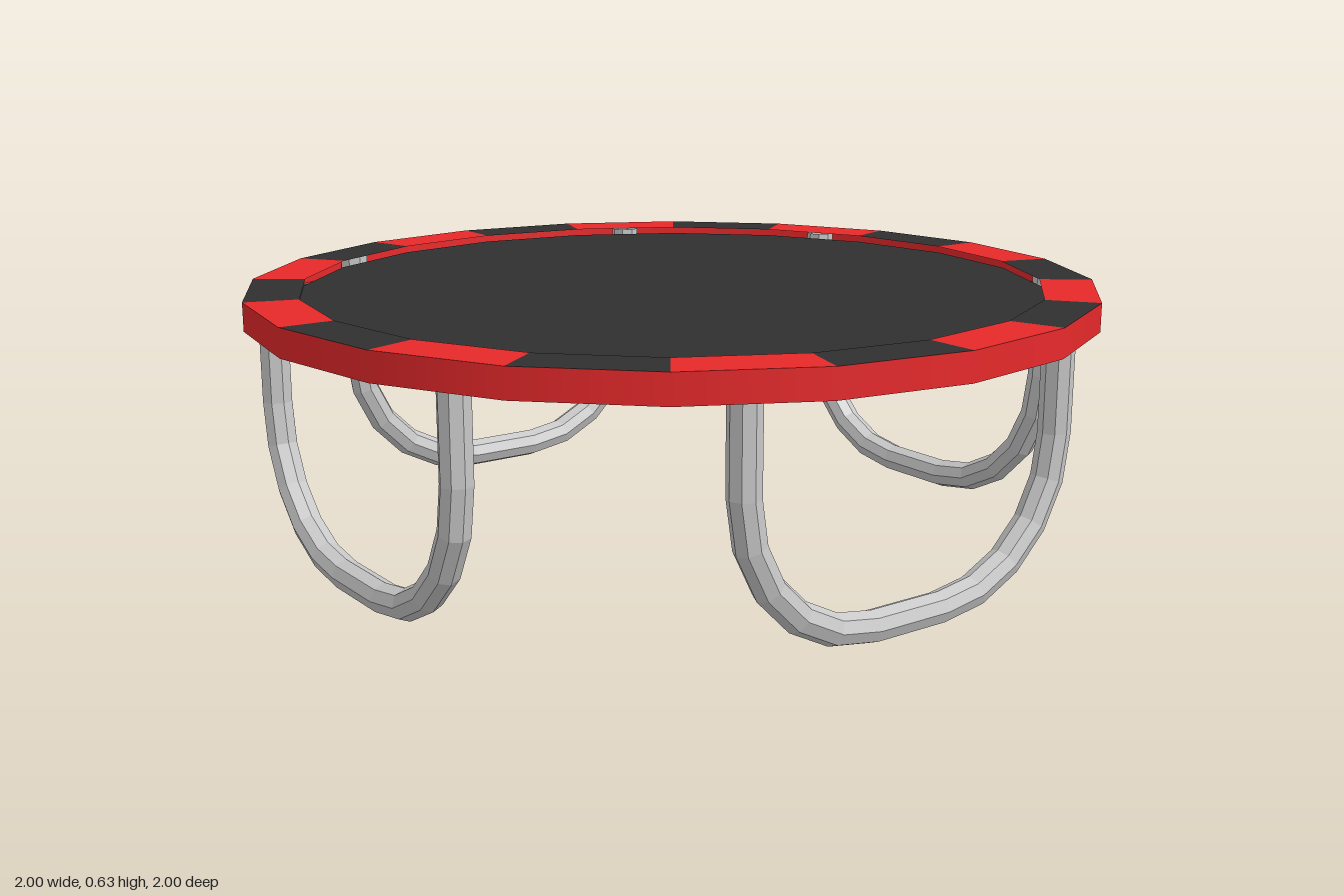
import * as THREE from 'three';

const SIDES = 20;
const OUTER = 1, INNER = 0.875, LOW = 0.573, HIGH = 0.639;

// Curve that passes through given points with given tangents, for evenly mitred tube rings
class RingPath extends THREE.Curve {
  constructor(points, tangents) {
    super();
    this.points = points;
    this.tangents = tangents;
  }
  index(t) { return Math.round(t * (this.points.length - 1)); }
  getPoint(t) { return this.points[this.index(t)].clone(); }
  getPointAt(t) { return this.getPoint(t); }
  getTangentAt(t) { return this.tangents[this.index(t)].clone(); }
}

// U-shaped leg: straight down, round corner, flat foot, round corner, straight up
function legGeometry() {
  const points = [], tangents = [];
  const add = (x, y, a) => {
    points.push(new THREE.Vector3(x, y, 0));
    tangents.push(new THREE.Vector3(-Math.sin(a), Math.cos(a), 0));
  };
  const r = 0.335, cx = 0.095, cy = 0.375, n = 5, top = 0.63;
  add(-cx - r, top, Math.PI);
  for (const side of [-1, 1]) {
    for (let i = 0; i <= n; i++) {
      const a = Math.PI + (i / n + (side > 0 ? 1 : 0)) * Math.PI / 2;
      add(side * cx + r * Math.cos(a), cy + r * Math.sin(a), a);
    }
  }
  add(cx + r, top, Math.PI * 2);
  return new THREE.TubeGeometry(new RingPath(points, tangents), points.length - 1, 0.036, 8, false);
}

// Flat ring whose sides alternate between two materials
function padRing() {
  const ring = new THREE.RingGeometry(INNER, OUTER, SIDES, 1).rotateX(-Math.PI / 2);
  for (let k = 0; k < SIDES; k++) ring.addGroup(k * 6, 6, k % 2);
  return ring;
}

export function createModel() {
  const side = THREE.DoubleSide;
  const red = new THREE.MeshStandardMaterial({ color: 0xe8292b, side });
  red.name = 'red';
  const charcoal = new THREE.MeshStandardMaterial({ color: 0x303030, side });
  charcoal.name = 'charcoal';
  const steel = new THREE.MeshStandardMaterial({ color: 0xc8c8c8, side, flatShading: true });
  steel.name = 'steel';

  const group = new THREE.Group();
  const add = (name, geometry, material, y = 0) => {
    const mesh = new THREE.Mesh(geometry, material);
    mesh.name = name;
    mesh.position.y = y;
    group.add(mesh);
    return mesh;
  };

  // Rim: outer wall, open toward the middle, with alternating pads above and below
  const wall = new THREE.CylinderGeometry(OUTER, OUTER, HIGH - LOW, SIDES, 1, true);
  add('rimWall', wall, red, (HIGH + LOW) / 2);
  add('topPads', padRing(), [red, charcoal], HIGH);
  add('bottomPads', padRing(), [charcoal, red], LOW);

  // Jumping mat, slightly sunk in the rim
  const mat = new THREE.CircleGeometry(INNER + 0.005, SIDES).rotateX(-Math.PI / 2);
  add('mat', mat, charcoal, 0.622);

  // Four legs
  const leg = legGeometry();
  ['frontLeg', 'leftLeg', 'backLeg', 'rightLeg'].forEach((name, i) => {
    const a = i * Math.PI / 2;
    const mesh = add(name, leg, steel);
    mesh.position.set(0.83 * Math.sin(a), 0, 0.83 * Math.cos(a));
    mesh.rotation.y = a;
  });
  return group;
}
